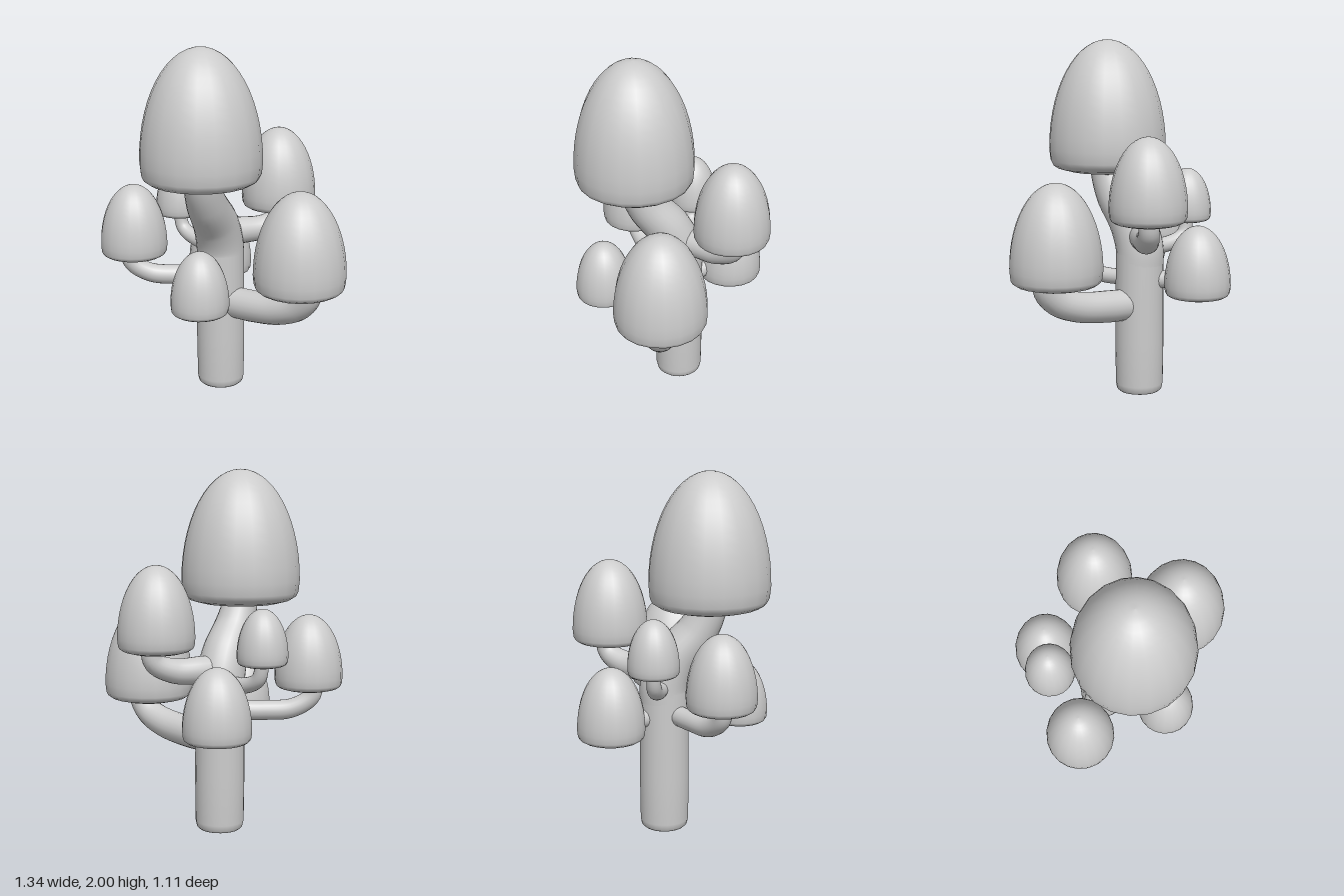
import * as THREE from 'three';

const material = new THREE.MeshStandardMaterial({ color: 0xcccccc, side: THREE.DoubleSide });

function add(group, name, geometry) {
  const mesh = new THREE.Mesh(geometry, material);
  mesh.name = name;
  group.add(mesh);
  return mesh;
}

// Tube through points whose radius follows a list spread evenly along its length
function taperedTube(points, radii, steps = 32, sides = 20) {
  const curve = new THREE.CatmullRomCurve3(points.map(p => new THREE.Vector3(...p)));
  const geometry = new THREE.TubeGeometry(curve, steps, 1, sides);
  const pos = geometry.attributes.position;
  const v = new THREE.Vector3();
  for (let i = 0; i <= steps; i++) {
    const centre = curve.getPointAt(i / steps);
    const t = (i / steps) * (radii.length - 1);
    const k = Math.min(Math.floor(t), radii.length - 2);
    const r = THREE.MathUtils.lerp(radii[k], radii[k + 1], t - k);
    for (let j = 0; j <= sides; j++) {
      const n = i * (sides + 1) + j;
      v.fromBufferAttribute(pos, n).sub(centre).multiplyScalar(r).add(centre);
      pos.setXYZ(n, v.x, v.y, v.z);
    }
  }
  return geometry;
}

// Bell-shaped cap: shallow convex underside, rounded rim, elliptical dome
function capGeometry(r, h) {
  const profile = [[0, 0], [0.35, 0.006], [0.65, 0.022], [0.85, 0.045], [0.94, 0.07], [0.98, 0.105]];
  const points = profile.map(([x, y]) => new THREE.Vector2(x * r, y * h));
  for (let i = 0; i <= 14; i++) {
    const a = (i / 14) * Math.PI / 2;
    points.push(new THREE.Vector2(Math.max(0, Math.cos(a)) * r, (0.19 + 0.81 * Math.sin(a)) * h));
  }
  return new THREE.LatheGeometry(points, 20);
}

export function createModel() {
  const model = new THREE.Group();
  model.name = 'mushroomCluster';

  // Trunk: straight stalk with softened foot, then a bend forward under the main cap
  const foot = new THREE.LatheGeometry(
    [[0, 0], [0.115, 0], [0.128, 0.012], [0.135, 0.045], [0.138, 0.3], [0.135, 0.8]]
      .map(p => new THREE.Vector2(...p)), 24);
  add(model, 'trunk', foot).position.set(-0.138, 0.005, -0.018);
  add(model, 'trunkBend', taperedTube(
    [[-0.138, 0.72, -0.018], [-0.138, 0.84, -0.016], [-0.122, 0.98, 0.04],
      [-0.09, 1.13, 0.16], [-0.075, 1.27, 0.225], [-0.075, 1.4, 0.23]],
    [0.135, 0.135, 0.128, 0.115, 0.098, 0.09], 32, 24));

  // Caps: name, x, z, radius, bottom, top
  const caps = [
    ['mainCap', -0.075, 0.222, 0.335, 1.238, 2.0],
    ['leftCap', 0.412, -0.025, 0.256, 0.658, 1.24],
    ['backCap', 0.03, -0.345, 0.212, 1.01, 1.493],
    ['frontRightCap', -0.487, 0.325, 0.188, 0.785, 1.21],
    ['upperRightCap', -0.455, -0.035, 0.138, 0.955, 1.27],
    ['backRightCap', -0.352, -0.28, 0.186, 0.558, 0.975],
    ['frontCap', 0.045, 0.385, 0.16, 0.57, 0.935],
  ];
  for (const [name, x, z, r, bottom, top] of caps) {
    add(model, name, capGeometry(r, top - bottom)).position.set(x, bottom, z);
  }

  // Side branches, rooted inside the trunk and curling up into their caps
  const branches = [
    ['leftBranch', [[-0.12, 0.515, -0.02], [0.08, 0.52, -0.02], [0.27, 0.54, -0.02],
      [0.41, 0.59, -0.02], [0.48, 0.67, -0.02], [0.48, 0.8, -0.02]], [0.088, 0.09, 0.085, 0.075, 0.06]],
    ['frontRightBranch', [[-0.16, 0.68, 0.02], [-0.3, 0.675, 0.15], [-0.43, 0.69, 0.26],
      [-0.51, 0.76, 0.33], [-0.52, 0.88, 0.34]], [0.055, 0.055, 0.055, 0.05, 0.045]],
    ['backBranch', [[-0.14, 0.91, 0], [-0.09, 0.91, -0.13], [-0.02, 0.915, -0.26],
      [0.035, 0.97, -0.36], [0.045, 1.1, -0.375]], [0.08, 0.078, 0.07, 0.058, 0.05]],
    ['upperRightBranch', [[-0.16, 0.84, -0.02], [-0.32, 0.84, -0.03], [-0.43, 0.89, -0.035],
      [-0.46, 1.03, -0.035]], [0.045, 0.045, 0.04, 0.035]],
    ['backRightBranch', [[-0.14, 0.66, -0.02], [-0.24, 0.66, -0.14], [-0.35, 0.7, -0.27]], [0.05, 0.05, 0.045]],
    ['frontBranch', [[-0.12, 0.655, 0.02], [-0.03, 0.655, 0.2], [0.04, 0.69, 0.37]], [0.045, 0.045, 0.04]],
  ];
  for (const [name, points, radii] of branches) add(model, name, taperedTube(points, radii));

  return model;
}
